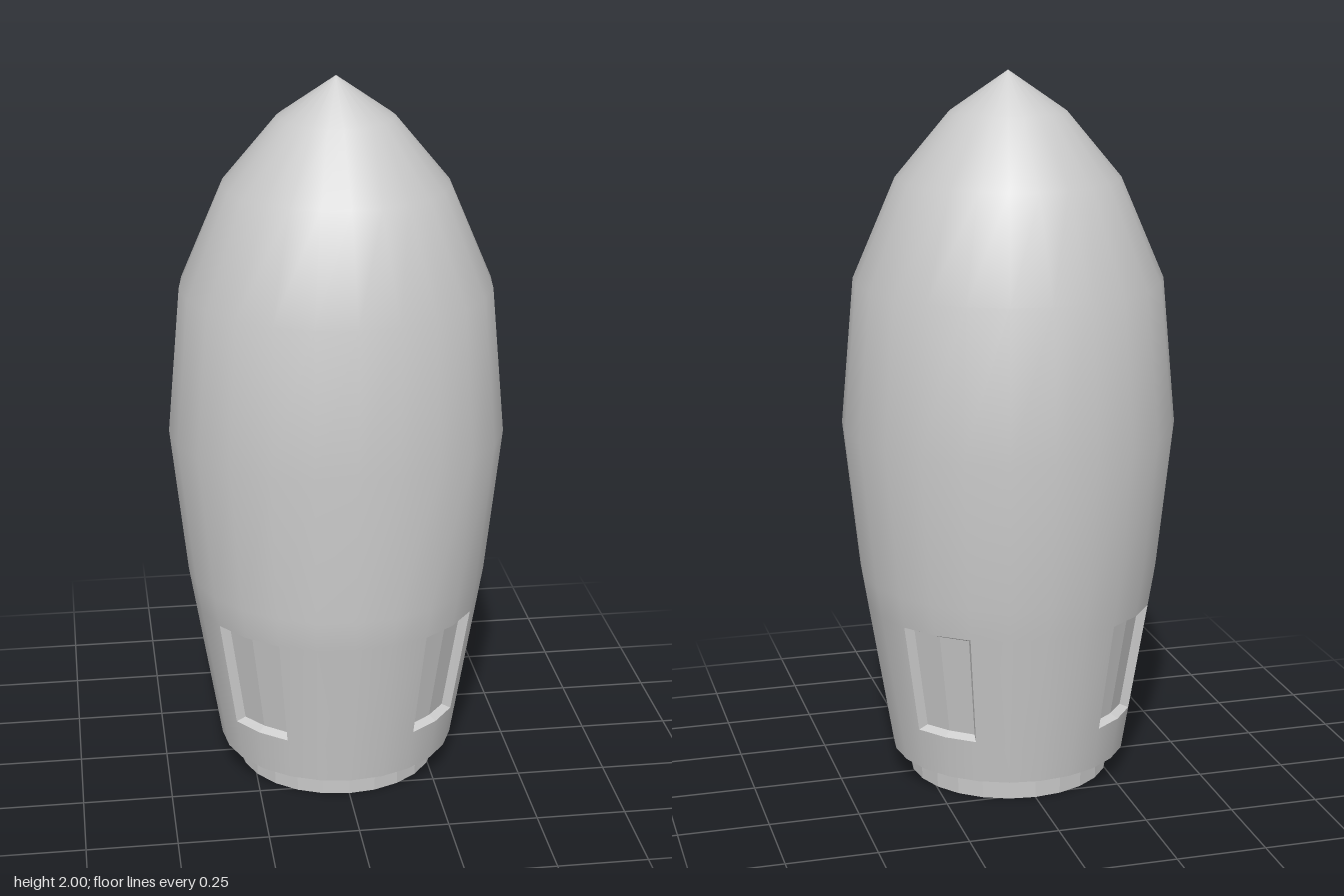
import * as THREE from 'three';

const SIDES = 24, STEP = Math.PI * 2 / SIDES, CENTRE_Z = 0.012;
const WALL = 0.035, LOW = 0.195, HIGH = 0.51;
const BASE_Y = 0.07, BASE_R = 0.335, SHOULDER_Y = 0.6, SHOULDER_R = 0.422;

const lowerRadius = y => THREE.MathUtils.mapLinear(y, BASE_Y, SHOULDER_Y, BASE_R, SHOULDER_R);
const polar = (r, angle, y) => new THREE.Vector3(r * Math.sin(angle), y, r * Math.cos(angle));

// Hull outline as [radius, height], from the base to the nose tip
const PROFILE = [
  [BASE_R, BASE_Y], [lowerRadius(LOW), LOW], [lowerRadius(HIGH), HIGH],
  [SHOULDER_R, SHOULDER_Y], [0.467, 1.02], [0.43, 1.43], [0.31, 1.71], [0.16, 1.89], [0, 2],
];
const WINDOW_ROW = 1, BELLY_ROW = 4;
const FRONT_BELLY = [0.436, 0.438, 0.449, 0.461]; // flattened belly, from the front centre outward

const isWindow = (row, col) => row === WINDOW_ROW && (col % 6 === 2 || col % 6 === 3);

// Smooth skin of revolution with the four window openings left out
function shell(profile, flattenFront) {
  const points = [], all = [], kept = [];
  profile.forEach(([r, y], row) => {
    for (let col = 0; col < SIDES; col++) {
      const away = Math.min(col, SIDES - col);
      const flat = flattenFront && row === BELLY_ROW && away < FRONT_BELLY.length;
      points.push(polar(flat ? FRONT_BELLY[away] : r, col * STEP, y));
    }
  });
  for (let row = 0; row < profile.length - 1; row++) {
    for (let col = 0; col < SIDES; col++) {
      const a = row * SIDES + col, b = row * SIDES + (col + 1) % SIDES;
      const faces = [a, b, b + SIDES, a, b + SIDES, a + SIDES];
      all.push(...faces);
      if (!isWindow(row, col)) kept.push(...faces);
    }
  }
  const geometry = new THREE.BufferGeometry().setFromPoints(points);
  geometry.setIndex(all);
  geometry.computeVertexNormals(); // normals stay smooth across the openings
  geometry.setIndex(kept);
  return geometry;
}

// Outline of a window: three points along the bottom, three back along the top
function windowLoop(depth, halfAngle, inset) {
  const loop = [];
  for (const t of [-1, 0, 1]) loop.push(polar(lowerRadius(LOW + inset) - depth, t * halfAngle, LOW + inset));
  for (const t of [1, 0, -1]) loop.push(polar(lowerRadius(HIGH - inset) - depth, t * halfAngle, HIGH - inset));
  return loop;
}

function quads(list) {
  const points = list.flatMap(([a, b, c, d]) => [a, b, c, a, c, d]);
  const geometry = new THREE.BufferGeometry().setFromPoints(points);
  geometry.computeVertexNormals();
  return geometry;
}

const bridge = (from, to) => quads(from.map((p, i) => {
  const n = (i + 1) % from.length;
  return [p, from[n], to[n], to[i]];
}));

export function createModel() {
  const smooth = new THREE.MeshStandardMaterial({ color: 0xcccccc, side: THREE.DoubleSide });
  const faceted = new THREE.MeshStandardMaterial({ color: 0xcccccc, side: THREE.DoubleSide, flatShading: true });
  const model = new THREE.Group();
  model.name = 'rocketHull';
  model.position.z = CENTRE_Z;

  const add = (parent, name, geometry, material) => {
    const mesh = new THREE.Mesh(geometry, material);
    mesh.name = name;
    parent.add(mesh);
    return mesh;
  };

  // Outer skin and the lining just inside it
  add(model, 'outerHull', shell(PROFILE, true), smooth);
  const lining = PROFILE.map(([r, y]) => [Math.max(r - WALL, 0), y === 2 ? 1.95 : y > 1.8 ? y - 0.02 : y]);
  add(model, 'innerLining', shell(lining, false), smooth);

  // Open collar and the flat rim joining it to the hull
  const collar = add(model, 'baseCollar',
    new THREE.CylinderGeometry(0.288, 0.285, BASE_Y, SIDES, 1, true), faceted);
  collar.position.y = BASE_Y / 2;
  const rim = add(model, 'baseRim', new THREE.RingGeometry(0.288, BASE_R, SIDES), faceted);
  rim.rotation.x = Math.PI / 2;
  rim.position.y = BASE_Y;

  // Four recessed windows set in the diagonals
  const outer = windowLoop(0, STEP, 0);
  const inner = windowLoop(WALL, STEP, 0);
  const pane = windowLoop(0.025, STEP * 0.88, 0.012);
  const parts = {
    windowReveal: bridge(outer, pane),
    windowInnerReveal: bridge(pane, inner),
    windowPane: quads([[pane[0], pane[1], pane[4], pane[5]], [pane[1], pane[2], pane[3], pane[4]]]),
  };
  for (let i = 0; i < 4; i++) {
    const frame = new THREE.Group();
    frame.name = 'window';
    frame.rotation.y = Math.PI / 4 + i * Math.PI / 2;
    for (const [name, geometry] of Object.entries(parts)) add(frame, name, geometry, faceted);
    model.add(frame);
  }
  return model;
}
